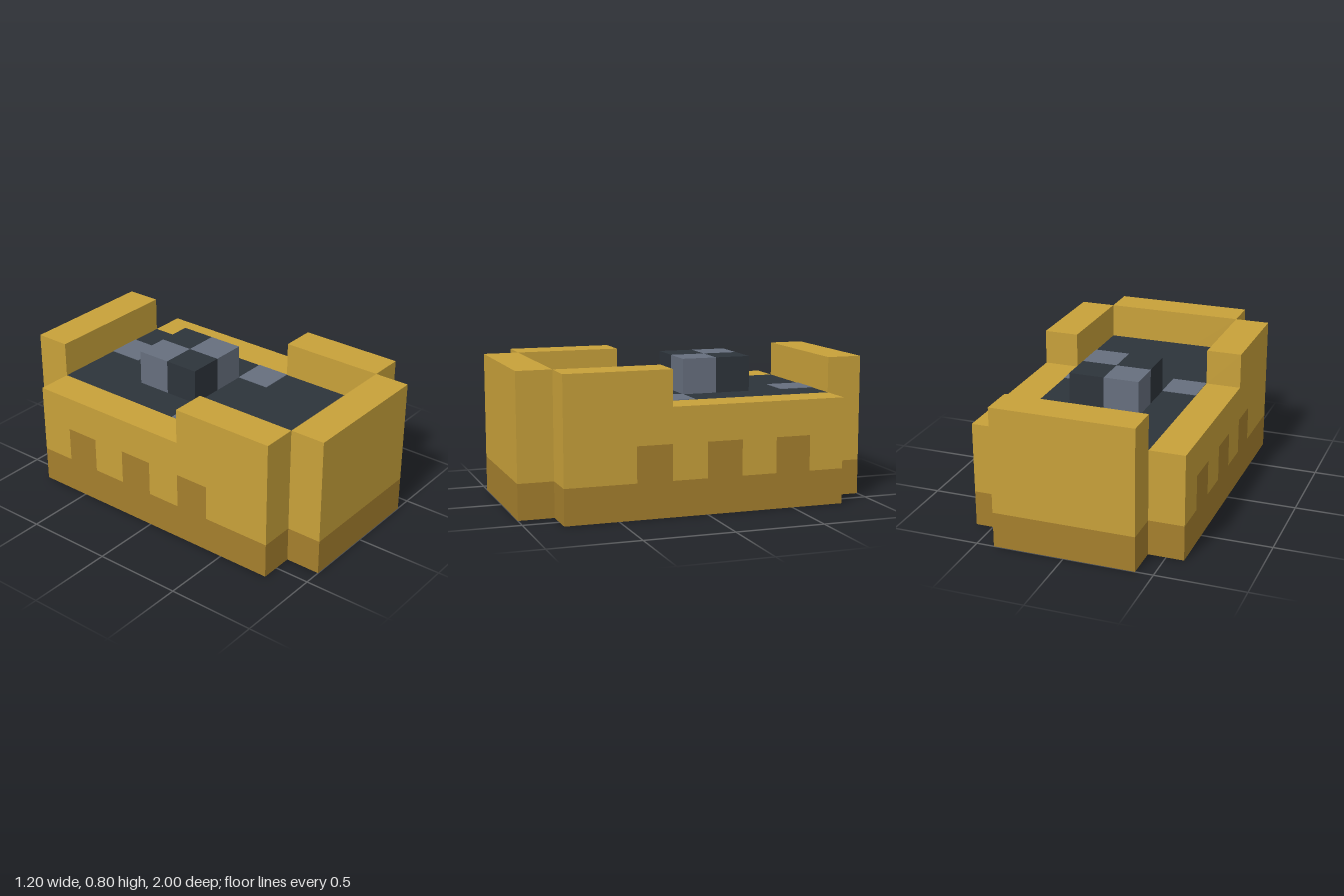
import * as THREE from 'three';

const mat = (name, color) => {
  const m = new THREE.MeshStandardMaterial({ color });
  m.name = name;
  return m;
};

export function createModel() {
  const gold = mat('gold', 0xc8a13a);
  const brown = mat('brown', 0xa57f2d);
  const charcoal = mat('charcoal', 0x2d343b);
  const slate = mat('slate grey', 0x666f7e);
  const model = new THREE.Group();
  model.name = 'cart';

  // Box given by its lower and upper limits on each axis
  const block = (parent, name, material, [x0, x1], [y0, y1], [z0, z1]) => {
    const mesh = new THREE.Mesh(new THREE.BoxGeometry(x1 - x0, y1 - y0, z1 - z0), material);
    mesh.position.set((x0 + x1) / 2, (y0 + y1) / 2, (z0 + z1) / 2);
    mesh.name = name;
    parent.add(mesh);
  };

  // Base under the load, and the load itself
  block(model, 'base', brown, [-0.4, 0.4], [0, 0.2], [-0.8, 0.8]);
  block(model, 'load', charcoal, [-0.4, 0.4], [0.2, 0.6], [-0.8, 0.8]);

  // Front and back walls
  for (const [name, z] of [['frontWall', [0.8, 1]], ['backWall', [-1, -0.8]]]) {
    const wall = new THREE.Group();
    wall.name = name;
    block(wall, 'wallBase', brown, [-0.4, 0.4], [0, 0.2], z);
    block(wall, 'wallPanel', gold, [-0.4, 0.4], [0.2, 0.8], z);
    model.add(wall);
  }

  // Side walls: brown base, row with three brown bricks, upper rail, raised front
  for (const [name, x] of [['leftWall', [0.4, 0.6]], ['rightWall', [-0.6, -0.4]]]) {
    const wall = new THREE.Group();
    wall.name = name;
    block(wall, 'wallBase', brown, x, [0, 0.2], [-0.8, 0.8]);
    const cuts = [-0.8, -0.6, -0.4, -0.2, 0, 0.2, 0.4, 0.8];
    for (let i = 0; i < cuts.length - 1; i++) {
      const isBrick = i % 2 === 1;
      block(wall, isBrick ? 'brick' : 'wallPanel', isBrick ? brown : gold, x, [0.2, 0.4], [cuts[i], cuts[i + 1]]);
    }
    block(wall, 'rail', gold, x, [0.4, 0.6], [-0.8, 0.8]);
    block(wall, 'raisedFront', gold, x, [0.6, 0.8], [0.2, 0.8]);
    model.add(wall);
  }

  // Heap of four lumps in a checker pattern
  const heap = new THREE.Group();
  heap.name = 'heap';
  for (const x of [-0.2, 0]) {
    for (const z of [-0.4, -0.2]) {
      const light = (x < 0) === (z < -0.3);
      block(heap, 'lump', light ? slate : charcoal, [x, x + 0.2], [0.6, 0.8], [z, z + 0.2]);
    }
  }
  model.add(heap);

  // Light patches on the load
  for (const [x, z] of [[0.2, 0], [-0.4, 0], [0, -0.8]]) {
    block(model, 'loadPatch', slate, [x, x + 0.2], [0.6, 0.603], [z, z + 0.2]);
  }

  return model;
}
